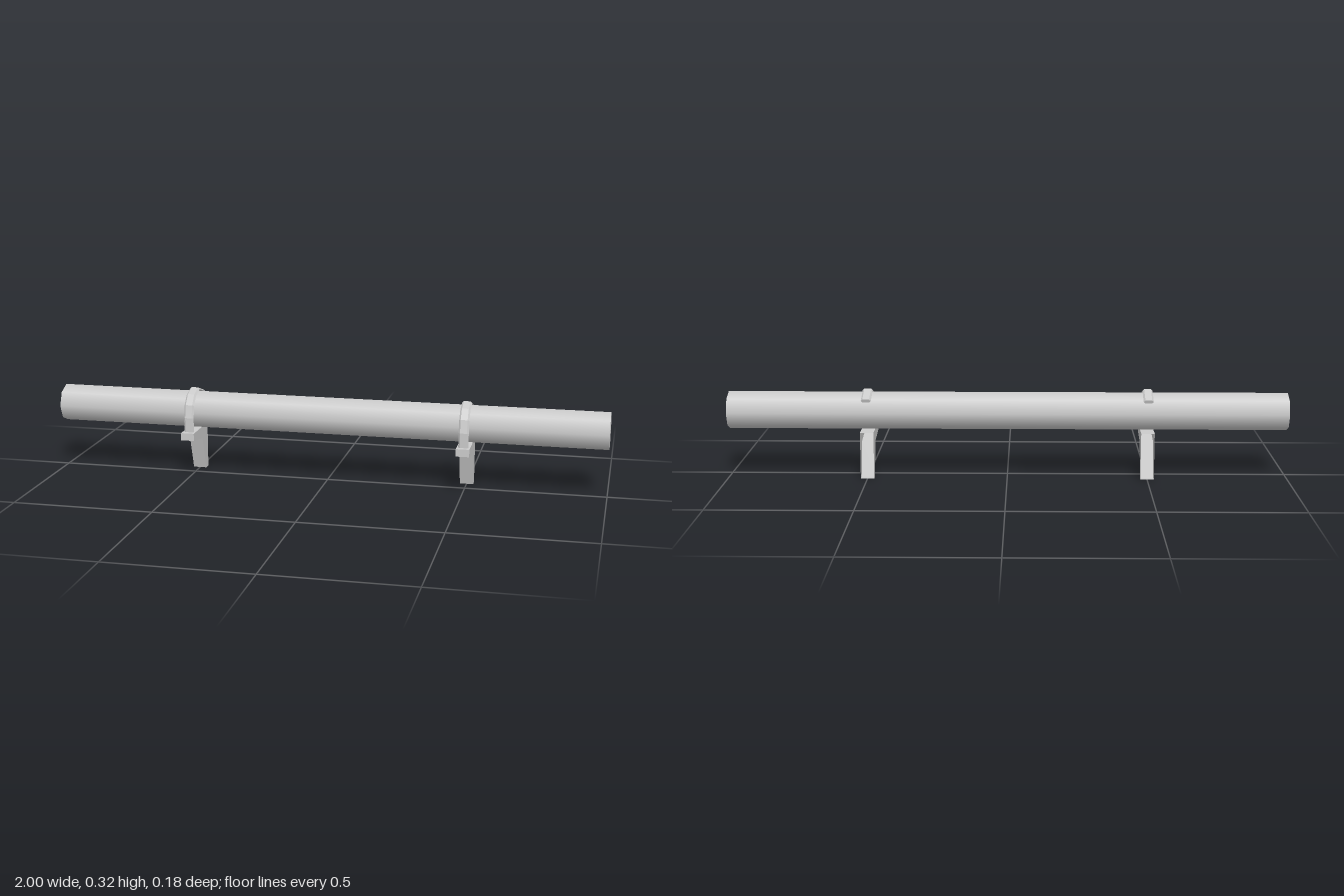
import * as THREE from 'three';

const grey = new THREE.MeshStandardMaterial({ color: 0xcccccc });
const flatGrey = new THREE.MeshStandardMaterial({ color: 0xcccccc, flatShading: true, side: THREE.DoubleSide });

// Joins equal-length rings of points into a faceted skin, optionally capping both ends
function loft(rings, closed, capped) {
  const n = rings[0].length, index = [];
  for (let i = 0; i < rings.length - 1; i++) {
    for (let j = 0; j < (closed ? n : n - 1); j++) {
      const a = i * n + j, b = i * n + (j + 1) % n;
      index.push(a, b, a + n, b, b + n, a + n);
    }
  }
  if (capped) {
    const last = (rings.length - 1) * n;
    for (let j = 1; j < n - 1; j++) index.push(0, j + 1, j, last, last + j, last + j + 1);
  }
  const geometry = new THREE.BufferGeometry();
  geometry.setAttribute('position', new THREE.Float32BufferAttribute(rings.flat(2), 3));
  geometry.setIndex(index);
  geometry.computeVertexNormals();
  return geometry;
}

// Bracket: side plates joined by a folded sheet, hollow and open at the back
function createBracket() {
  const bracket = new THREE.Group();
  bracket.name = 'bracket';
  const half = 0.024;
  const profile = [[-0.081, 0.168], [0.09, 0.168], [0.09, 0.141], [-0.015, 0.124], [-0.055, 0], [-0.081, 0]];
  const shape = new THREE.Shape(profile.map(([z, y]) => new THREE.Vector2(-z, y)));
  for (const side of [-1, 1]) {
    const plate = new THREE.Mesh(new THREE.ShapeGeometry(shape), flatGrey);
    plate.name = 'bracketSide';
    plate.rotation.y = side * Math.PI / 2;
    if (side < 0) plate.scale.x = -1; // mirrored plate
    plate.position.x = side * half;
    bracket.add(plate);
  }
  const sheet = new THREE.Mesh(loft(profile.map(([z, y]) => [[-half, y, z], [half, y, z]]), false, false), flatGrey);
  sheet.name = 'bracketSheet';
  bracket.add(sheet);
  return bracket;
}

// Strap: flattened six-sided bar bent over the pipe
function createStrap() {
  const path = [[0.067, 0.166], [0.068, 0.22], [0.058, 0.264], [0.032, 0.296], [-0.0135, 0.31], [-0.086, 0.284]]
    .map(([z, y]) => new THREE.Vector2(z, y));
  const section = [[0.018, 0], [0.012, 0.006], [-0.012, 0.006], [-0.018, 0], [-0.012, -0.006], [0.012, -0.006]];
  const rings = path.map((p, i) => {
    const next = path[Math.min(i + 1, path.length - 1)], prev = path[Math.max(i - 1, 0)];
    const t = next.clone().sub(prev).normalize();
    return section.map(([x, d]) => [x, p.y - t.x * d, p.x + t.y * d]);
  });
  const strap = new THREE.Mesh(loft(rings, true, true), flatGrey);
  strap.name = 'strap';
  return strap;
}

export function createModel() {
  const model = new THREE.Group();
  model.name = 'pipeOnBrackets';

  // Eight-sided pipe with smooth sides
  const pipe = new THREE.Mesh(new THREE.CylinderGeometry(0.068, 0.068, 2, 8).rotateZ(Math.PI / 2), grey);
  pipe.name = 'pipe';
  pipe.position.set(0, 0.236, -0.0118);
  model.add(pipe);

  // A bracket and strap at each quarter of the length
  for (const x of [-0.5, 0.5]) {
    const support = new THREE.Group();
    support.name = 'support';
    support.position.x = x;
    support.add(createBracket(), createStrap());
    model.add(support);
  }
  return model;
}
